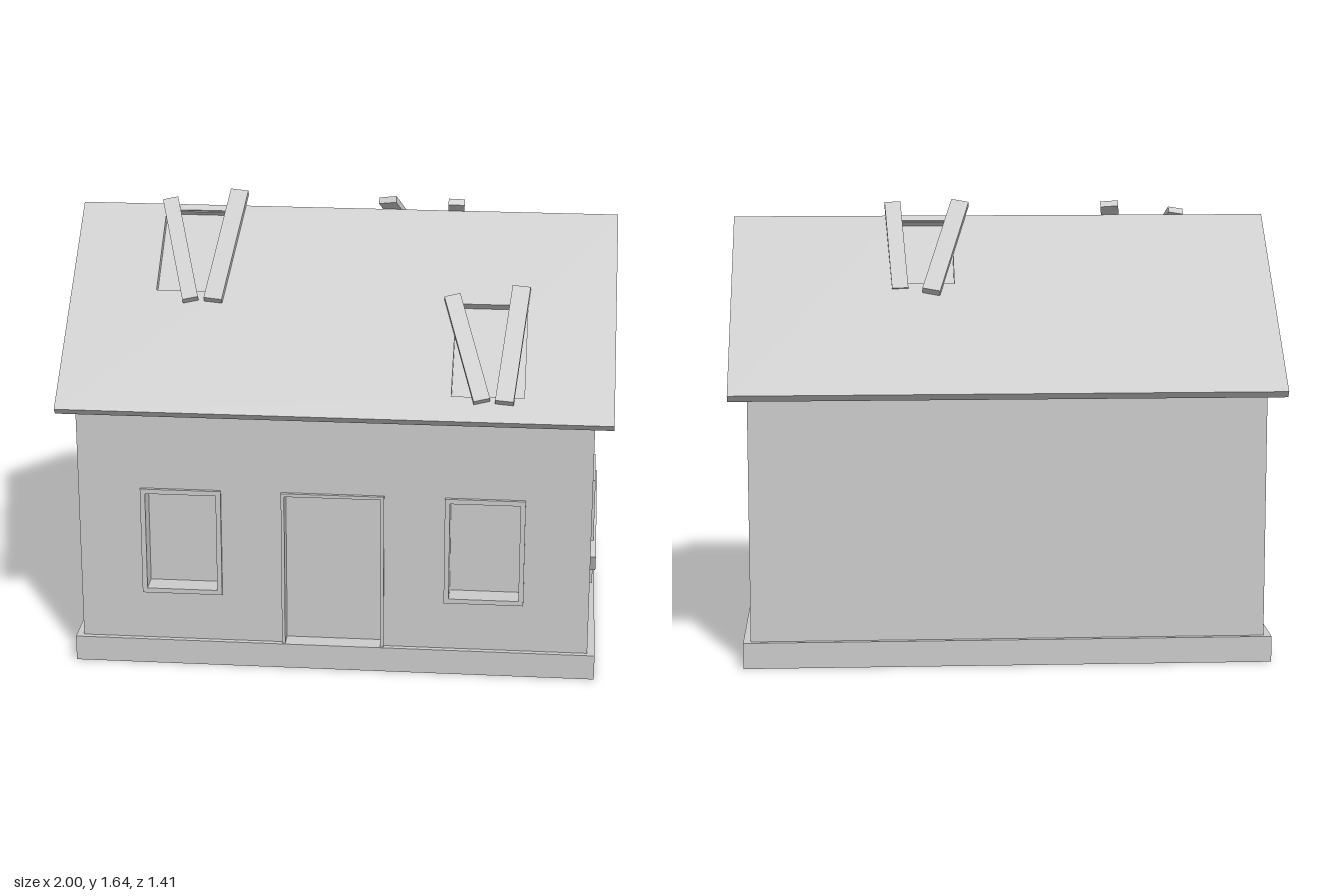
import * as THREE from 'three';

const grey = new THREE.MeshStandardMaterial({ color: 0xcccccc, flatShading: true });

function mesh(name, geometry, parent) {
  const m = new THREE.Mesh(geometry, grey);
  m.name = name;
  parent.add(m);
  return m;
}

function group(name, parent) {
  const g = new THREE.Group();
  g.name = name;
  parent.add(g);
  return g;
}

function rect(Type, [x0, x1, y0, y1]) {
  return new Type([[x0, y0], [x1, y0], [x1, y1], [x0, y1]].map(p => new THREE.Vector2(...p)));
}

// Flat panel with rectangular holes, from z = 0 to z = depth
function panel(outer, holes, depth) {
  const shape = rect(THREE.Shape, outer);
  holes.forEach(h => shape.holes.push(rect(THREE.Path, h)));
  return new THREE.ExtrudeGeometry(shape, { depth, bevelEnabled: false });
}

// Thin raised border around an opening
function frame(name, [x0, x1, y0, y1], t, parent, bottom = t) {
  return mesh(name, panel([x0, x1, y0, y1], [[x0 + t, x1 - t, y0 + bottom, y1 - t]], 0.012), parent);
}

// Board lying in the local xy plane between two points
function plank(name, x0, y0, x1, y1, width, z0, z1, parent) {
  const a = new THREE.Vector3(x0, y0, z0), b = new THREE.Vector3(x1, y1, z1);
  const m = mesh(name, new THREE.BoxGeometry(width, a.distanceTo(b), 0.025), parent);
  const dir = b.clone().sub(a).normalize();
  const side = new THREE.Vector3().crossVectors(dir, new THREE.Vector3(0, 0, 1)).normalize();
  const normal = new THREE.Vector3().crossVectors(side, dir);
  m.setRotationFromMatrix(new THREE.Matrix4().makeBasis(side, dir, normal));
  m.position.copy(a).add(b).multiplyScalar(0.5);
}

export function createModel() {
  const house = new THREE.Group();
  house.name = 'house';
  const halfX = 0.933, frontZ = 0.65, recess = 0.07;

  // Plinth
  mesh('plinth', new THREE.BoxGeometry(1.92, 0.095, 1.33), house).position.set(0, 0.0475, 0.005);

  // Gabled body, stepped back behind the front wall
  const profile = new THREE.Shape([
    [-0.64, 0.05], [frontZ - recess, 0.05], [frontZ - recess, 0.95], [frontZ, 0.95],
    [frontZ, 1.01], [0, 1.541], [-0.64, 1.015],
  ].map(p => new THREE.Vector2(...p)));
  const body = new THREE.ExtrudeGeometry(profile, { depth: halfX * 2, bevelEnabled: false });
  body.translate(0, 0, -halfX).rotateY(-Math.PI / 2);
  mesh('body', body, house);

  // Front wall with window and door openings
  const windows = [[-0.705, -0.41, 0.28, 0.69], [0.405, 0.695, 0.28, 0.69]];
  const door = [-0.19, 0.185, 0.09, 0.69];
  const inset = ([a, b, c, d], t) => [a + t, b - t, c + t, d - t];
  const openings = [...windows.map(w => inset(w, 0.018)), [door[0] + 0.012, door[1] - 0.012, 0.09, 0.678]];
  mesh('frontWall', panel([-halfX, halfX, 0.05, 0.95], openings, recess), house).position.z = frontZ - recess;
  const front = group('frontTrim', house);
  front.position.z = frontZ;
  windows.forEach(w => frame('windowFrame', w, 0.018, front));
  frame('doorFrame', door, 0.012, front, 0.005);
  mesh('door', new THREE.BoxGeometry(0.36, 0.6, 0.02), front).position.set(-0.0025, 0.385, -0.06);

  // Side windows, each lower one crossed by a board
  const sides = [
    { s: 1, lower: [-0.43, -0.16], upper: [-0.175, 0.105], board: [-0.493, 0.385, -0.078, 0.565], z: 0.009 },
    { s: -1, lower: [-0.4, -0.1], upper: [-0.1, 0.18], board: [-0.425, 0.61, -0.055, 0.35], z: 0.019 },
  ];
  for (const { s, lower, upper, board, z } of sides) {
    const wall = group(s > 0 ? 'leftSideTrim' : 'rightSideTrim', house);
    wall.rotation.y = s * Math.PI / 2;
    wall.position.x = s * halfX;
    frame('sideWindowFrame', [...lower, 0.28, 0.69], 0.016, wall);
    frame('gableWindowFrame', [...upper, 1.02, 1.3], 0.02, wall);
    plank('windowBoard', ...board, 0.07, z, z, wall);
  }

  // Roof slopes with holes patched by planks; local y runs up the slope to the ridge
  const pitch = Math.atan2(0.575, 0.705), length = 0.91, thick = 0.03;
  const slopes = [
    {
      name: 'frontRoof', turn: 0,
      holes: [[-0.685, -0.46, -0.387, -0.026], [0.42, 0.68, -0.806, -0.413]],
      planks: [
        [-0.672, 0.01, -0.553, -0.435, 0.058, 0.012, 0.012],
        [-0.415, 0.055, -0.47, -0.435, 0.067, 0.013, 0.013],
        [0.405, -0.39, 0.53, -0.83, 0.06, 0.012, 0.009],
        [0.655, -0.345, 0.61, -0.835, 0.066, 0.013, 0.013],
      ],
    },
    {
      name: 'backRoof', turn: Math.PI,
      holes: [[-0.41, -0.18, -0.36, -0.026]],
      planks: [
        [-0.147, 0.055, -0.267, -0.415, 0.067, 0.013, 0.013],
        [-0.403, 0.05, -0.38, -0.385, 0.06, 0.013, -0.008],
      ],
    },
  ];
  for (const { name, turn, holes, planks } of slopes) {
    const facing = group(name, house);
    facing.rotation.y = turn;
    facing.position.y = 1.58;
    const slope = group('roofSlope', facing);
    slope.rotation.x = pitch - Math.PI / 2;
    mesh('roofSlab', panel([-1, 1, -length, 0], holes, thick), slope).position.z = -thick;
    planks.forEach(p => plank('roofPlank', ...p, slope));
  }

  return house;
}
